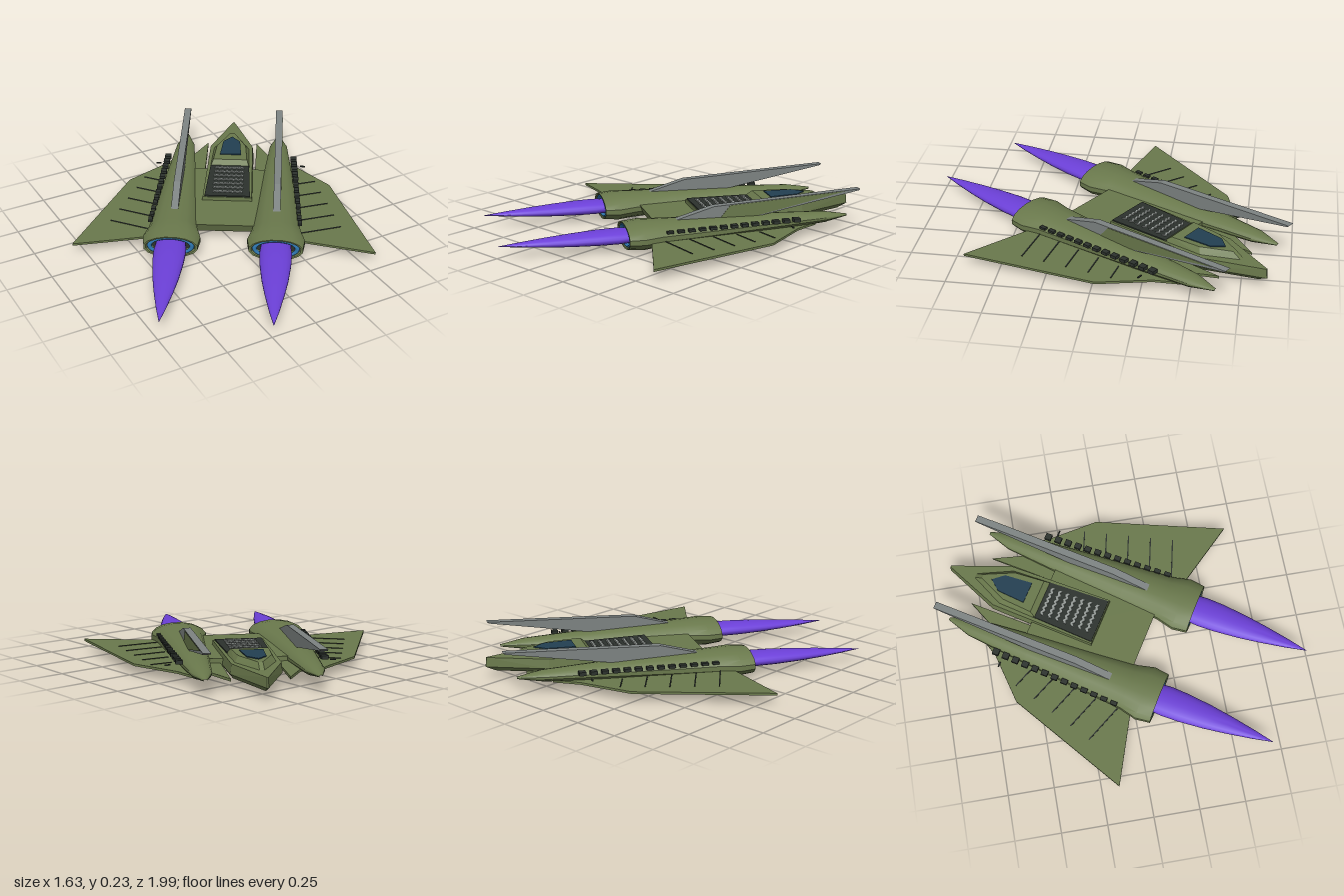
import * as THREE from 'three';
import { toCreasedNormals } from 'three/addons/utils/BufferGeometryUtils.js';
import { ConvexGeometry } from 'three/addons/geometries/ConvexGeometry.js';

const mat = (name, color) => {
  const m = new THREE.MeshStandardMaterial({ color });
  m.name = name;
  return m;
};

// Ship frame: t runs across, s runs forward (-z), y is up.
const plate = (points, y, thickness) => {
  const shape = new THREE.Shape(points.map(([t, s]) => new THREE.Vector2(t, s)));
  return new THREE.ExtrudeGeometry(shape, { depth: thickness, bevelEnabled: false })
    .rotateX(-Math.PI / 2).translate(0, y, 0);
};

// Upright slab drawn in (s, y), centred across t.
const slab = (points, width) => {
  const shape = new THREE.Shape(points.map(([s, y]) => new THREE.Vector2(s, y)));
  return new THREE.ExtrudeGeometry(shape, { depth: width, bevelEnabled: false })
    .translate(0, 0, -width / 2).rotateY(Math.PI / 2);
};

// Convex solid from symmetric outlines [[half width, s], ...] stacked in y.
const solid = (layers) => new ConvexGeometry(layers.flatMap(([y, outline]) =>
  outline.flatMap(([t, s]) => [new THREE.Vector3(t, y, -s), new THREE.Vector3(-t, y, -s)])));

// Elliptical sections [s, half width, half height, centre y] joined from back to front.
const loft = (sections, sides, crease) => {
  const pos = [], index = [];
  for (const [s, hw, hh, cy] of sections)
    for (let j = 0; j < sides; j++) {
      const a = ((j + 0.5) / sides) * Math.PI * 2;
      pos.push(hw * Math.cos(a), cy + hh * Math.sin(a), -s);
    }
  for (let i = 0; i < sections.length - 1; i++)
    for (let j = 0; j < sides; j++) {
      const a = i * sides + j, b = i * sides + ((j + 1) % sides);
      index.push(a, a + sides, b + sides, a, b + sides, b);
    }
  const g = new THREE.BufferGeometry();
  g.setAttribute('position', new THREE.Float32BufferAttribute(pos, 3));
  g.setIndex(index);
  return toCreasedNormals(g, crease);
};

export function createModel() {
  const olive = mat('olive hull', 0x6a794c);
  const purple = mat('purple exhaust', 0x6c40d8);
  const grey = mat('grey fin', 0x7e8483);
  const dark = mat('dark panel', 0x2c322d);
  const glass = mat('canopy glass', 0x223f52);
  const blue = mat('blue engine ring', 0x2f77b0);
  const light = mat('light rib', 0x969c98);

  const ship = new THREE.Group();
  ship.name = 'ship';
  const add = (name, geometry, material, t = 0, y = 0, s = 0, parent = ship) => {
    const mesh = new THREE.Mesh(geometry, material);
    mesh.name = name;
    mesh.position.set(t, y, -s);
    parent.add(mesh);
    return mesh;
  };

  // Central hull, rear deck and cockpit block
  const hullOutline = [[0.004, 1.056], [0.131, 0.74], [0.145, 0.14]];
  add('hull', solid([
    [0.045, [[0.004, 1.0], [0.115, 0.72], [0.14, 0.14]]],
    [0.07, hullOutline],
    [0.122, [[0.004, 1.05], [0.126, 0.735], [0.138, 0.14]]],
  ]), olive);
  add('rearDeck', solid([
    [0.05, [[0.22, -0.1], [0.22, 0.5]]],
    [0.1, [[0.22, -0.12], [0.22, 0.5]]],
  ]), olive);
  add('cockpitBlock', solid([
    [0.12, [[0.012, 0.9], [0.105, 0.71], [0.115, 0.48]]],
    [0.153, [[0.012, 0.85], [0.085, 0.69], [0.098, 0.52]]],
  ]), olive);
  add('canopy', plate([[0, 0.795], [0.05, 0.735], [0.062, 0.577], [-0.062, 0.577], [-0.05, 0.735]],
    0.15, 0.008), glass);
  add('bellyStrip', plate([[-0.2, 0], [0.2, 0], [0.2, 0.11], [-0.2, 0.11]], 0.042, 0.009), dark);

  // Engine grille with zigzag ribs
  add('grillePanel', plate([[-0.128, 0.145], [0.128, 0.145], [0.112, 0.5], [-0.112, 0.5]],
    0.12, 0.009), dark);
  for (let i = 0; i < 7; i++) {
    const s = 0.19 + i * 0.045, front = [], back = [];
    for (let k = 0; k <= 12; k++) {
      const t = -0.085 + (k * 0.17) / 12, zig = k % 2 ? 0.005 : -0.005;
      front.push([t, s + zig + 0.007]);
      back.unshift([t, s + zig - 0.007]);
    }
    add('grilleRib', plate([...front, ...back], 0.128, 0.007), light);
  }

  for (const side of [-1, 1]) {
    const label = side > 0 ? 'left' : 'right';
    const flip = (pts) => pts.map(([t, s]) => [t * side, s]);
    const half = new THREE.Group();
    half.name = label + 'Side';
    ship.add(half);
    const put = (name, g, m, t = 0, y = 0, s = 0) => add(name, g, m, t * side, y, s, half);

    // Engine nacelle with hollow rear
    put('nacelle', loft([
      [-0.27, 0, 0, 0.076], [-0.27, 0.115, 0.05, 0.076], [-0.316, 0.135, 0.058, 0.076],
      [-0.318, 0.147, 0.065, 0.076], [-0.235, 0.158, 0.073, 0.076], [-0.14, 0.134, 0.069, 0.078],
      [0.1, 0.113, 0.061, 0.08], [0.45, 0.085, 0.047, 0.086], [0.8, 0.052, 0.028, 0.09],
      [0.935, 0.008, 0.006, 0.09],
    ], 16, 0.5), olive, 0.281);
    put('engineRing', new THREE.TorusGeometry(0.114, 0.013, 8, 28).scale(1, 0.44, 1), blue, 0.281, 0.076, -0.302);
    put('engineInner', new THREE.CircleGeometry(0.11, 24).scale(1, 0.45, 1), dark, 0.281, 0.076, -0.274);
    put('exhaustFlame', loft([
      [-0.976, 0.001, 0.001, 0.071], [-0.86, 0.026, 0.012, 0.071], [-0.72, 0.051, 0.023, 0.072],
      [-0.6, 0.069, 0.03, 0.073], [-0.46, 0.083, 0.036, 0.075], [-0.36, 0.087, 0.037, 0.076],
      [-0.275, 0.08, 0.034, 0.076],
    ], 20, 0.9), purple, 0.281);

    // Raked fin rising forward
    put('fin', slab([[-0.08, 0.13], [0.17, 0.2], [1.003, 0.236], [0.995, 0.228], [0.4, 0.125]], 0.04),
      grey, 0.281);
    if (side > 0) put('finPanel', slab([[0.2, 0.128], [0.26, 0.2], [0.92, 0.23], [0.4, 0.13]], 0.002),
      olive, 0.302);

    // Swept wing and inner strake
    put('wing', plate(flip([[0.3, -0.2], [0.413, -0.2], [0.812, -0.295], [0.581, 0.404],
      [0.377, 0.618], [0.3, 0.75]]), 0.053, 0.012), olive);
    put('strake', plate(flip([[0.147, 0.863], [0.147, 0.3], [0.28, 0.3], [0.28, 0.66], [0.225, 0.71]]),
      0.062, 0.014), olive);

    // Panel lines on the wing
    for (let i = 0; i < 5; i++) {
      const so = -0.05 + i * 0.122, to = 0.635 - i * 0.034, ti = 0.41 - i * 0.006;
      const si = so - 0.35 * (to - ti);
      put('wingLine', plate(flip([[ti, si], [to, so], [to, so + 0.007], [ti, si + 0.007]]),
        0.064, 0.004), dark);
    }

    // Row of vents along the nacelle, growing toward the front
    for (let i = 0; i < 13; i++) {
      const k = i / 12;
      put('vent', new THREE.BoxGeometry(0.022 + 0.014 * k, 0.012 + 0.008 * k, 0.036),
        dark, 0.408 - 0.036 * k, 0.113, -0.1 + 0.71 * k);
    }
    put('sensor', new THREE.BoxGeometry(0.03, 0.006, 0.008), dark, 0.425, 0.09, 0.57);
  }

  // Set the whole craft at its heading
  ship.rotation.y = -0.55;
  ship.position.set(0.03, 0, 0.018);
  const model = new THREE.Group();
  model.name = 'twinEngineCraft';
  model.add(ship);
  return model;
}
